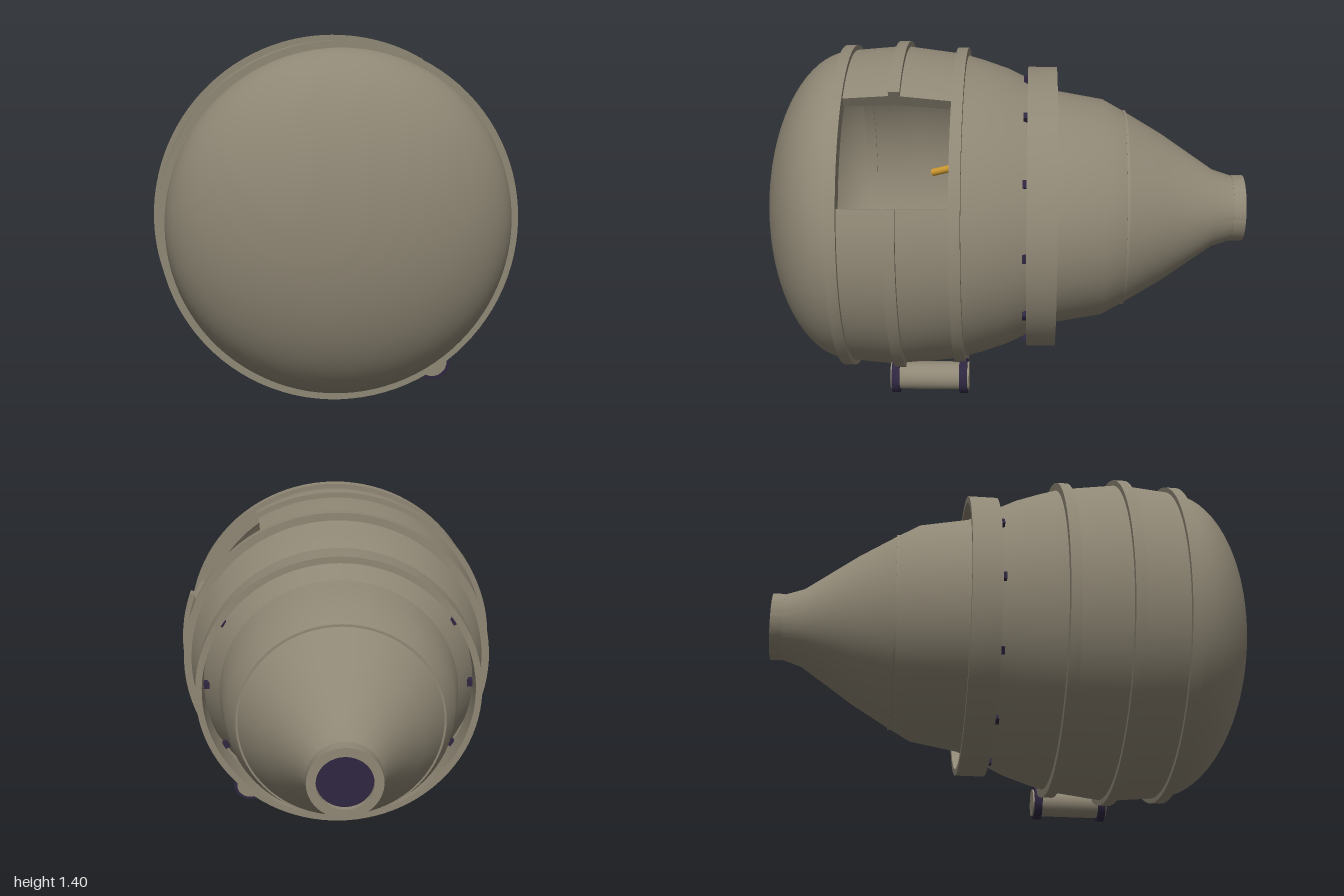
import * as THREE from 'three';
import { toCreasedNormals } from 'three/addons/utils/BufferGeometryUtils.js';

const AXIS_Y = 0.7;
const rad = THREE.MathUtils.degToRad;

export function createModel() {
  const metal = new THREE.MeshStandardMaterial({ color: 0x8f8775, side: THREE.DoubleSide });
  metal.name = 'khaki metal';
  const dark = new THREE.MeshStandardMaterial({ color: 0x2e2640 });
  dark.name = 'dark violet';
  const brass = new THREE.MeshStandardMaterial({ color: 0xd09a30 });
  brass.name = 'brass';

  const model = new THREE.Group();
  const add = (name, geometry, material, x = 0, y = 0, z = 0) => {
    const mesh = new THREE.Mesh(geometry, material);
    mesh.name = name;
    mesh.position.set(x, y, z);
    model.add(mesh);
    return mesh;
  };

  // The hatch opening runs from 20 to 60 degrees on the upper left side
  const OPEN_A = rad(20), OPEN_B = rad(60);

  // Profile of [z, radius] pairs turned around the long axis
  const turn = (name, profile, { hatch = false, material = metal, segments = 96 } = {}) => {
    const points = profile.map(([z, r]) => new THREE.Vector2(r, z));
    const start = hatch ? OPEN_B + Math.PI / 2 : 0;
    const length = hatch ? Math.PI * 2 - (OPEN_B - OPEN_A) : Math.PI * 2;
    const g = new THREE.LatheGeometry(points, segments, start, length).rotateX(Math.PI / 2);
    add(name, toCreasedNormals(g, 0.45), material, 0, AXIS_Y, 0);
    if (!hatch) return;
    // Close the cut ends
    for (const angle of [OPEN_A, OPEN_B]) {
      const cap = new THREE.ShapeGeometry(new THREE.Shape(points));
      add(name + 'CutFace', cap.rotateX(Math.PI / 2).rotateZ(angle), material, 0, AXIS_Y, 0);
    }
  };
  // Closed rectangular hoop
  const hoop = (name, z0, z1, inner, outer, options) =>
    turn(name, [[z0, inner], [z0, outer], [z1, outer], [z1, inner], [z0, inner]], options);

  // Domed nose
  const nose = [];
  for (let i = 0; i <= 20; i++) {
    const t = (i / 20) * Math.PI / 2;
    nose.push([0.66 + 0.34 * Math.sin(t), 0.657 * Math.cos(t)]);
  }
  turn('noseDome', nose);

  // Thick middle wall with the hatch, and its cut central hoop
  turn('middleWall', [
    [0.19, 0.648], [0.435, 0.68], [0.66, 0.66],
    [0.66, 0.615], [0.435, 0.63], [0.19, 0.6], [0.19, 0.648],
  ], { hatch: true });
  hoop('centreHoop', 0.41, 0.455, 0.63, 0.7, { hatch: true });
  hoop('frontHoop', 0.635, 0.68, 0.61, 0.683);
  hoop('rearHoop', 0.165, 0.21, 0.6, 0.674);

  // Rear shell, tail cone and outlet collar
  turn('rearShell', [[-0.2, 0.495], [-0.08, 0.55], [0, 0.588], [0.1, 0.622], [0.19, 0.648]]);
  turn('tailShell', [[-0.49, 0.41], [-0.4, 0.46], [-0.2, 0.495]]);
  hoop('tailSeam', -0.495, -0.485, 0.4, 0.415);
  turn('tailCone', [[-0.96, 0.135], [-0.87, 0.165], [-0.65, 0.315], [-0.49, 0.41]]);
  hoop('tailCollar', -1, -0.95, 0.105, 0.14);
  add('tailPlug', new THREE.CylinderGeometry(0.107, 0.107, 0.02, 48).rotateX(Math.PI / 2),
    dark, 0, AXIS_Y, -0.97);

  // Standing band held by twelve bolts
  hoop('tailBand', -0.205, -0.085, 0.568, 0.595);
  for (let i = 0; i < 12; i++) {
    const a = i * Math.PI / 6;
    const bolt = add('bandBolt', new THREE.BoxGeometry(0.03, 0.03, 0.03), dark,
      0.56 * Math.cos(a), AXIS_Y + 0.56 * Math.sin(a), -0.084);
    bolt.rotation.z = a;
  }

  // Small canister under the left side
  const rodZ = (name, r, z0, z1, material, x, y) =>
    add(name, new THREE.CylinderGeometry(r, r, z1 - z0, 32).rotateX(Math.PI / 2),
      material, x, y, (z0 + z1) / 2);
  rodZ('canister', 0.058, 0.15, 0.475, metal, 0.4, 0.095);
  rodZ('canisterFrontFlange', 0.073, 0.437, 0.468, dark, 0.4, 0.095);
  rodZ('canisterRearFlange', 0.073, 0.157, 0.19, dark, 0.4, 0.095);

  // Inner core with rods and wires
  const rod = (name, from, to, r, material) => {
    const a = new THREE.Vector3(...from), b = new THREE.Vector3(...to);
    const mesh = add(name, new THREE.CylinderGeometry(r, r, a.distanceTo(b), 16), material);
    mesh.position.copy(a).lerp(b, 0.5);
    mesh.quaternion.setFromUnitVectors(new THREE.Vector3(0, 1, 0), b.sub(a).normalize());
  };
  add('core', new THREE.SphereGeometry(0.12, 32, 20), dark, 0, AXIS_Y, -0.1);
  rod('upperRod', [0.19, 0.92, 0.3], [0.27, 0.985, 0.15], 0.015, brass);
  rod('upperRodCap', [0.235, 0.97, 0.15], [0.27, 1.0, 0.07], 0.03, metal);
  rod('lowerRod', [0.15, 0.65, 0.06], [0.24, 0.68, 0.0], 0.015, brass);
  rod('upperWire', [0.1, 1.116, 0.18], [0.3, 1.234, 0.18], 0.005, dark);
  rod('lowerWire', [0.277, 0.81, 0.18], [0.433, 0.975, 0.18], 0.005, dark);
  add('innerValve', new THREE.CylinderGeometry(0.033, 0.033, 0.03, 20).rotateX(Math.PI / 2),
    dark, 0.37, 0.6, 0.45);

  return model;
}
